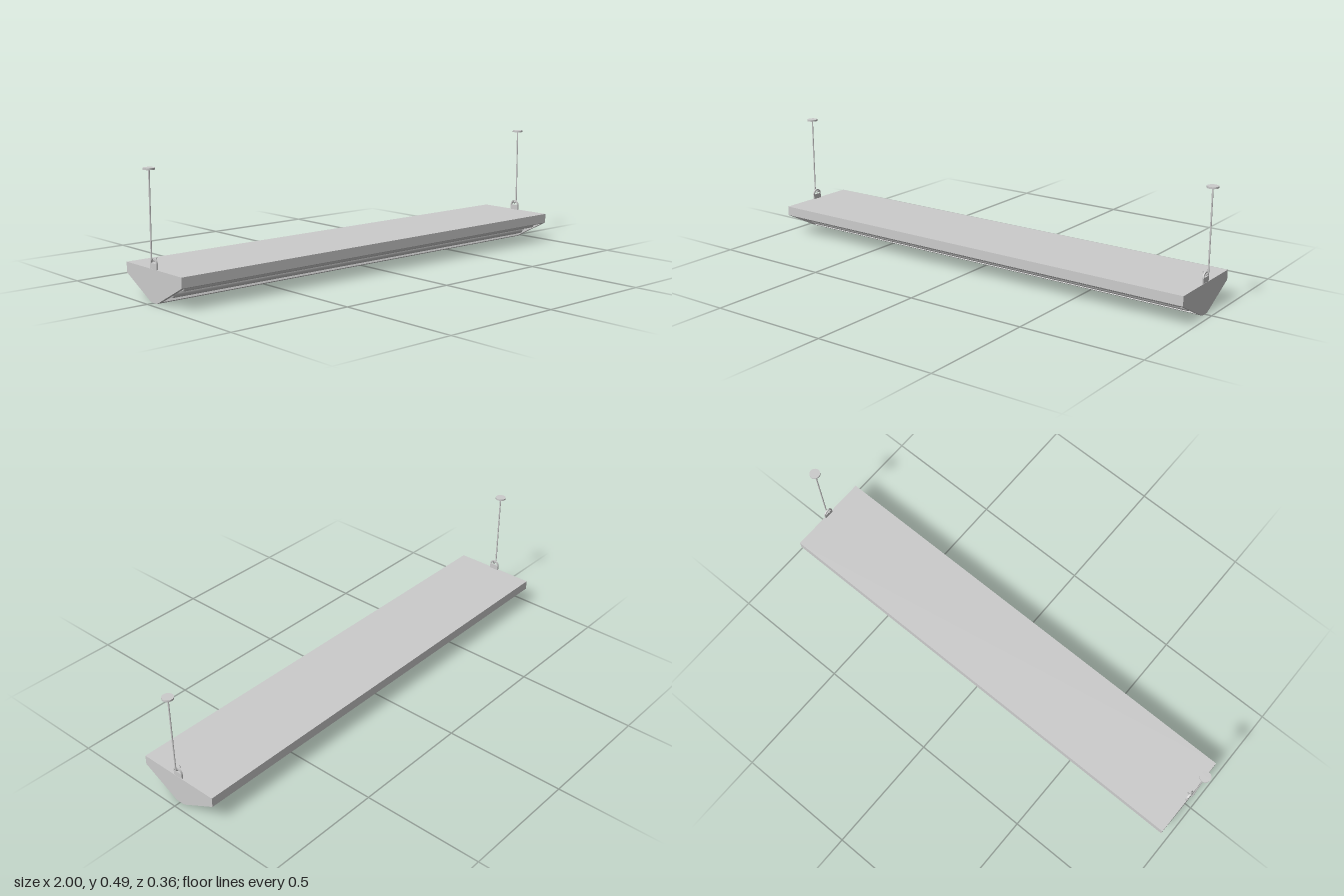
import * as THREE from 'three';

const HALF = 0.972; // half length of the housing
const END = 0.016;  // thickness of the end plates
const OUTER = new THREE.Vector2(0.178, 0.083), INNER = new THREE.Vector2(0.02, 0);
const SLOPE = INNER.clone().sub(OUTER);
const INWARD = new THREE.Vector2(SLOPE.y, -SLOPE.x).normalize();

// Point on the sloping underside: t runs outer to inner, depth goes into the housing
const onSlope = (t, depth) => OUTER.clone().addScaledVector(SLOPE, t).addScaledVector(INWARD, depth);

export function createModel() {
  const group = new THREE.Group();
  const material = new THREE.MeshStandardMaterial({ color: 0xcccccc, side: THREE.DoubleSide });

  function add(name, geometry, x = 0, y = 0, z = 0, parent = group) {
    const mesh = new THREE.Mesh(geometry, material);
    mesh.name = name;
    mesh.position.set(x, y, z);
    parent.add(mesh);
    return mesh;
  }

  // Extrude a (z, y) shape along x, centred on x = 0
  function extrudeX(shape, length) {
    return new THREE.ExtrudeGeometry(shape, { depth: length, bevelEnabled: false, curveSegments: 16 })
      .translate(0, 0, -length / 2).rotateY(-Math.PI / 2);
  }

  // Symmetric shape from the points of its +z half
  function mirrored(half) {
    const other = half.map(p => new THREE.Vector2(-p.x, p.y)).reverse();
    return new THREE.Shape([...half, ...other]);
  }

  // Housing with a trough in each sloping underside
  const top = new THREE.Vector2(0.178, 0.122);
  const trough = [onSlope(0.06, 0), onSlope(0.06, 0.036), onSlope(0.92, 0.036), onSlope(0.92, 0)];
  add('housing', extrudeX(mirrored([top, OUTER, ...trough, INNER]), 2 * (HALF - END)));
  const endPlate = extrudeX(mirrored([top, OUTER, INNER]), END);
  for (const s of [-1, 1]) add('endPlate', endPlate, s * (HALF - END / 2));

  // Two lamp tubes with end caps and pins in each trough
  const profile = [[0, -0.94], [0.015, -0.94], [0.018, -0.936], [0.018, 0.936], [0.015, 0.94], [0, 0.94]];
  const lamp = new THREE.LatheGeometry(profile.map(p => new THREE.Vector2(...p)), 24).rotateZ(Math.PI / 2);
  const pin = new THREE.CylinderGeometry(0.003, 0.003, 0.02, 8).rotateZ(Math.PI / 2);
  for (const side of [-1, 1]) {
    for (const t of [0.28, 0.7]) {
      const p = onSlope(t, 0.018);
      add('lampTube', lamp, 0, p.y, side * p.x);
      for (const s of [-1, 1])
        for (const d of [-0.007, 0.007]) add('lampPin', pin, s * 0.948, p.y, side * p.x + d);
    }
  }

  // Hanging bracket: round-topped tab with a half-round eye
  const tab = new THREE.Shape();
  tab.moveTo(-0.021, 0.115);
  tab.lineTo(0.021, 0.115);
  tab.lineTo(0.021, 0.143);
  tab.absarc(0, 0.143, 0.021, 0, Math.PI, false);
  tab.closePath();
  const eye = new THREE.Path();
  eye.absarc(0, 0.143, 0.0155, 0, Math.PI, false);
  eye.closePath();
  tab.holes.push(eye);
  const bracket = extrudeX(tab, 0.006);

  // Rod ending in a hook through the eye, with a ceiling disc on top
  const rod = new THREE.CylinderGeometry(0.003, 0.003, 0.32, 12);
  const disc = new THREE.CylinderGeometry(0.022, 0.022, 0.007, 28);
  for (const s of [-1, 1]) {
    const hanger = new THREE.Group();
    hanger.name = s > 0 ? 'leftHanger' : 'rightHanger';
    group.add(hanger);
    add('bracket', bracket, s * 0.968, 0, 0, hanger);
    add('rod', rod, s * 0.978, 0.32, 0, hanger);
    add('ceilingDisc', disc, s * 0.978, 0.4815, 0, hanger);
    const hookPath = new THREE.CatmullRomCurve3([[0.978, 0.163], [0.976, 0.156], [0.968, 0.152], [0.96, 0.156], [0.957, 0.163]]
      .map(([x, y]) => new THREE.Vector3(s * x, y, 0)));
    add('hook', new THREE.TubeGeometry(hookPath, 16, 0.003, 10), 0, 0, 0, hanger);
  }
  return group;
}
